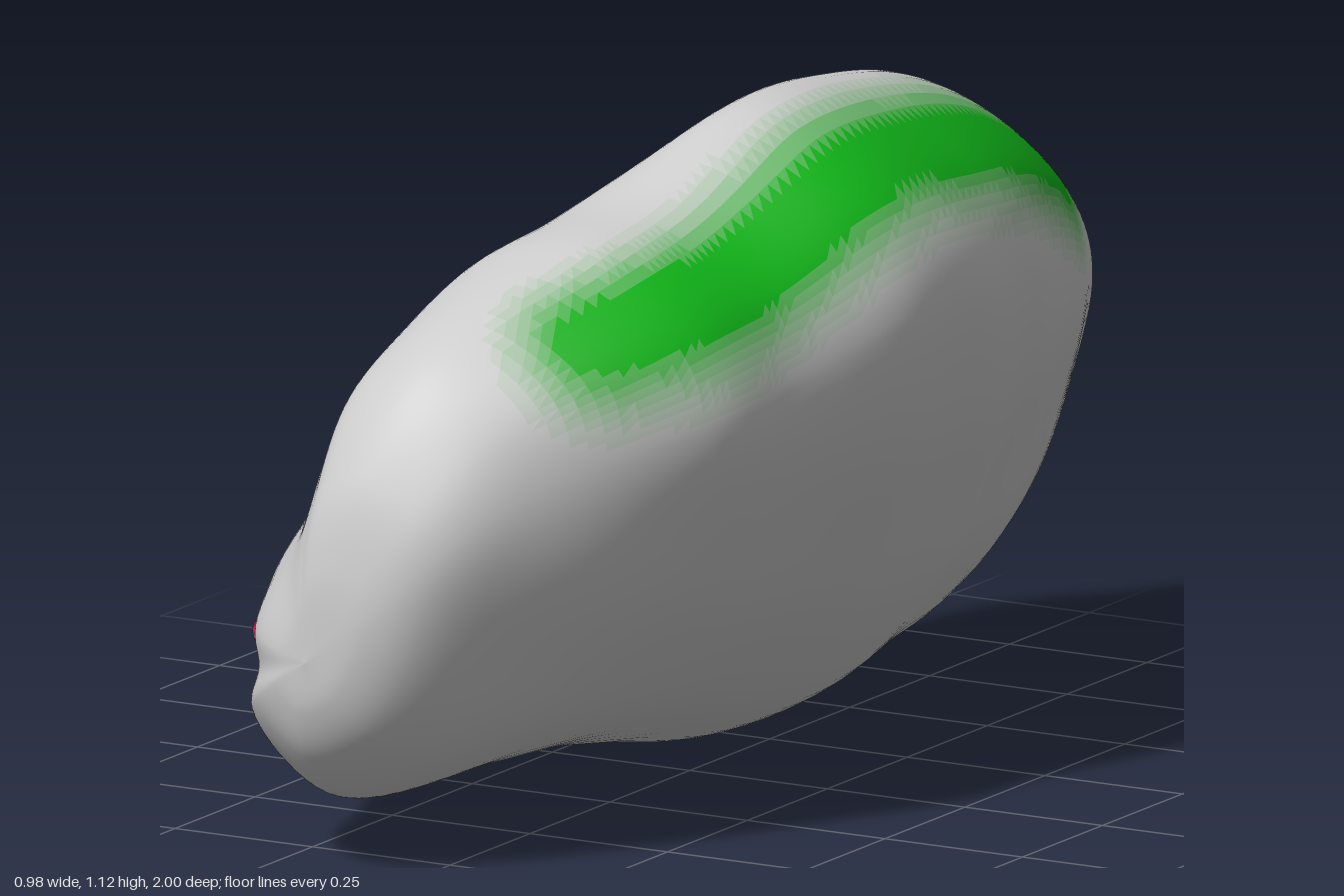
import * as THREE from 'three';

const V = (x, y, z) => new THREE.Vector3(x, y, z);
const ROWS = 150, AROUND = 120;

// Unit cross-section: lip, underside, back, crest, then the overhanging rim and hollow face
const OUTLINE = [[.04, .29], [0, .17], [.27, 0], [.59, .08], [.85, .35], [1, .71],
  [.93, .88], [.64, 1], [.54, .93], [.53, .78], [.44, .62], [.17, .39]];
const POINTS = OUTLINE.length, CREST = 7;

// Stations: z, left, right, bottom, top and how far the face swells
const STATIONS = [
  [.84, -.3, .19, .11, .82, 1],
  [.56, -.37, .37, .1, .955, 1],
  [.36, -.38, .41, .09, 1, .8],
  [.1, -.43, .48, .05, 1.11, .1],
  [-.2, -.42, .46, 0, 1.1, 0],
  [-.5, -.35, .38, .04, 1.03, .3],
  [-.8, -.26, .26, .1, .89, .9],
];
const FRONT = V(-.12, .36, 1), BACK = V(0, .48, -1);

// Eyes and mouth, placed in x and z
const EYES = [V(-.005, 0, -.41), V(-.02, 0, .03)];
const MOUTH = new THREE.CatmullRomCurve3([V(-.16, 0, -.34), V(-.17, 0, -.2), V(-.11, 0, -.09)]).getPoints(14);

// Colour tints, blended from plain grey in a few steps
const TINTS = { green: 0x10b018, blue: 0x2b2bc4, red: 0xc4103f };
const STEPS = 8;

const fade = (d, near, far) => 1 - THREE.MathUtils.smoothstep(d, near, far);

// One lengthwise curve per outline point, closing on a rounded pole at each end
function lengthwiseCurve([u, v], k) {
  const pts = STATIONS.map(([z, left, right, bottom, top, swell]) => {
    const bulge = k > CREST ? swell * Math.sin(Math.PI * (k - CREST) / (POINTS - CREST)) : 0;
    return V(left + (right - left) * (u - .25 * bulge), bottom + (top - bottom) * (v + .03 * bulge), z);
  });
  const cap = (p, pole, size, z) => pole.clone().lerp(p, size).setZ(pole.z * z);
  const first = pts[0], last = pts[pts.length - 1];
  return new THREE.CatmullRomCurve3([
    FRONT, cap(first, FRONT, .34, .99), cap(first, FRONT, .66, .95), ...pts,
    cap(last, BACK, .68, .94), cap(last, BACK, .34, .988), BACK,
  ]);
}

// Strength of the eye and mouth dents
function faceDent(p) {
  const flat = V(p.x, 0, p.z);
  const eye = Math.min(...EYES.map(e => Math.hypot(p.x - e.x, (p.z - e.z) * .65)));
  const mouth = Math.min(...MOUTH.map(q => flat.distanceTo(q)));
  return Math.max(fade(eye, .02, .055), fade(mouth, .02, .065));
}

// Strength of the green patch, which arches along the upper back and steps down at the front
function patch(p) {
  const z = THREE.MathUtils.clamp(p.z, -.7, .68);
  const drop = z < 0 ? .4 * z * z : .17 * THREE.MathUtils.smoothstep(z, 0, .6);
  return fade(p.distanceTo(V(.36 - .28 * z * z, 1.04 - drop, z)), .05, .2);
}

export function createModel() {
  const group = new THREE.Group();
  group.name = 'pebbleFace';
  const curves = OUTLINE.map(lengthwiseCurve);
  const positions = [], tint = [];

  for (let i = 0; i <= ROWS; i++) {
    const ring = new THREE.CatmullRomCurve3(curves.map(c => c.getPoint(i / ROWS)), true);
    const root = ring.getPoint(0);
    // The lip is strongest near the middle and dies out at both ends
    const lipOn = fade(root.z, .7, .86) * fade(-root.z, .62, .8);
    const lip = lipOn * (.07 + .03 * Math.exp(-(((root.z + .14) / .2) ** 2)) + .003 * Math.sin(root.z * 41));
    for (let j = 0; j < AROUND; j++) {
      const p = ring.getPoint(j / AROUND);
      const s = j / AROUND * POINTS, fromLip = Math.min(s, POINTS - s);
      // Gentle lumps over the skin, then the lip pulled outwards
      p.x += .004 * Math.sin(17 * p.x + 9 * p.z) * Math.sin(15 * p.y - 11 * p.z);
      p.x -= lip * Math.exp(-((fromLip / .34) ** 2));

      // Dents pressed into the face
      const dent = s > CREST + 1.3 && s < POINTS - .5 ? faceDent(p) : 0;
      p.x += .035 * dent;
      p.y -= .03 * dent;

      const fromTip = Math.hypot(p.x - root.x + lip, p.y - root.y);
      positions.push(p.x, p.y, p.z);
      tint.push({
        green: patch(p),
        blue: Math.max(dent, lipOn * fade(fromTip, .09, .21)),
        red: lipOn * fade(fromTip, .04, .11),
      });
    }
  }

  // Triangles of the whole skin; the first and last rings are poles
  const faces = [];
  for (let i = 0; i < ROWS; i++) {
    for (let j = 0; j < AROUND; j++) {
      const a = i * AROUND + j, b = i * AROUND + (j + 1) % AROUND;
      const c = b + AROUND, d = a + AROUND;
      if (i < ROWS - 1) faces.push([a, d, c]);
      if (i > 0) faces.push([a, c, b]);
    }
  }
  const skin = new THREE.BufferGeometry();
  skin.setAttribute('position', new THREE.Float32BufferAttribute(positions, 3));
  skin.setIndex(faces.flat());
  skin.computeVertexNormals();

  // Sort the triangles by tint
  const parts = new Map();
  for (const face of faces) {
    const mix = Object.keys(TINTS).map(name =>
      Math.round(face.reduce((sum, id) => sum + tint[id][name], 0) / 3 * STEPS));
    const key = mix.join();
    if (!parts.has(key)) parts.set(key, { mix, index: [] });
    parts.get(key).index.push(...face);
  }

  // One mesh per tint, sharing positions and smooth normals
  for (const { mix, index } of parts.values()) {
    const geometry = new THREE.BufferGeometry();
    geometry.setAttribute('position', skin.attributes.position);
    geometry.setAttribute('normal', skin.attributes.normal);
    geometry.setIndex(index);
    const color = new THREE.Color(0xcccccc);
    Object.values(TINTS).forEach((hex, n) => color.lerp(new THREE.Color(hex), mix[n] / STEPS));
    const mesh = new THREE.Mesh(geometry, new THREE.MeshStandardMaterial({ color }));
    mesh.name = mix[2] ? 'redLip' : mix[1] ? 'blueShading' : mix[0] ? 'greenPatch' : 'body';
    group.add(mesh);
  }
  return group;
}
